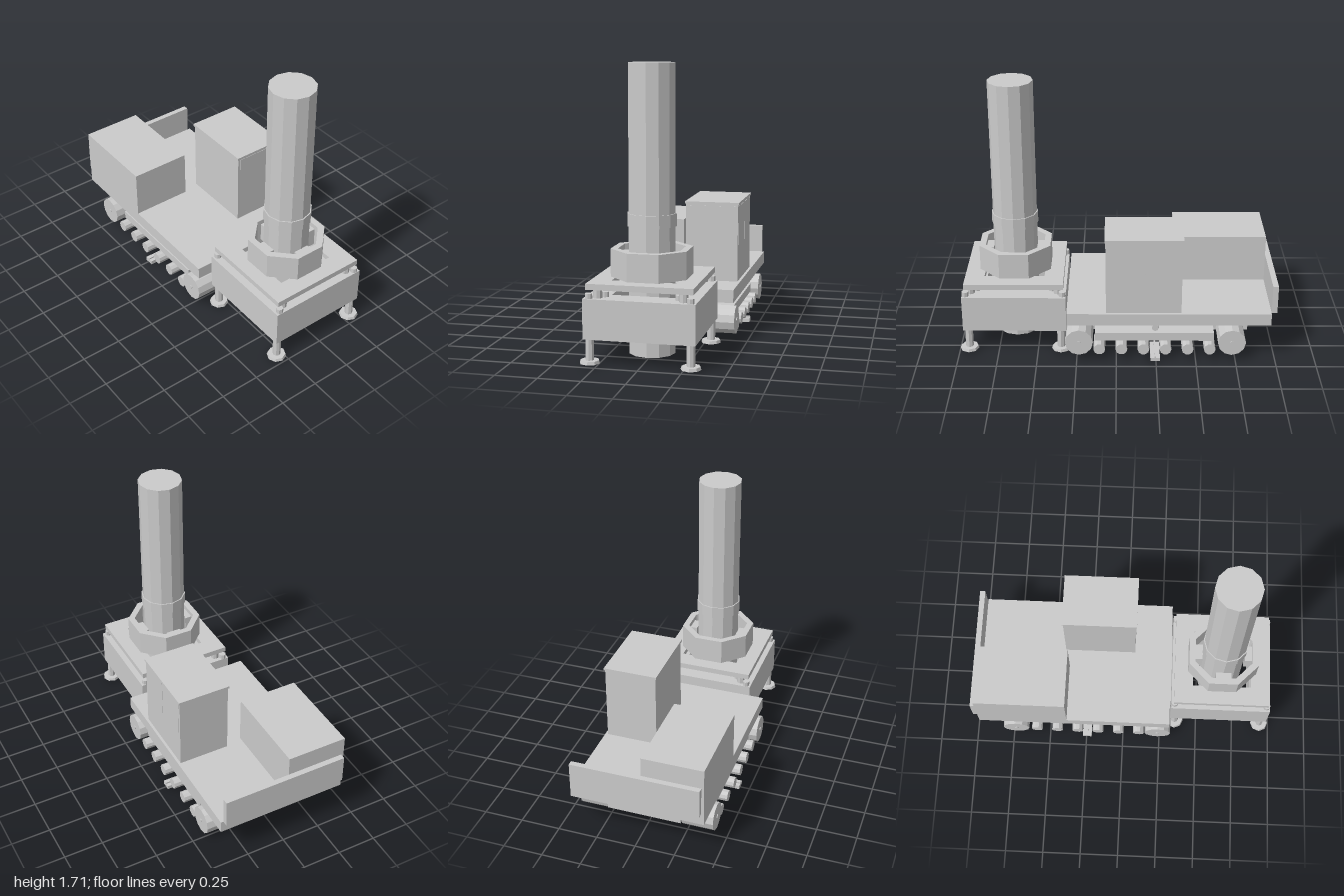
import * as THREE from 'three';

export function createModel() {
  const root = new THREE.Group();
  const mat = new THREE.MeshStandardMaterial({ color: 0xcccccc, flatShading: true });
  const sides = [-1, 1];

  const add = (name, geometry) => {
    const mesh = new THREE.Mesh(geometry, mat);
    mesh.name = name;
    root.add(mesh);
    return mesh;
  };
  // Box given by its min and max on each axis
  const box = (name, x0, x1, y0, y1, z0, z1) => {
    const m = add(name, new THREE.BoxGeometry(x1 - x0, y1 - y0, z1 - z0));
    m.position.set((x0 + x1) / 2, (y0 + y1) / 2, (z0 + z1) / 2);
    return m;
  };
  // Upright cylinder
  const post = (name, x, z, y0, y1, rTop, rBottom = rTop, n = 8) => {
    const m = add(name, new THREE.CylinderGeometry(rTop, rBottom, y1 - y0, n));
    m.position.set(x, (y0 + y1) / 2, z);
    return m;
  };
  // Cylinder lying along x
  const wheel = (name, side, x0, x1, y, z, r, n) => {
    const m = add(name, new THREE.CylinderGeometry(r, r, x1 - x0, n));
    m.rotation.z = Math.PI / 2;
    m.position.set(side * (x0 + x1) / 2, y, z);
    return m;
  };
  // Regular outline: 4 corners make a square, 8 an octagon, sized across the flats
  const outline = (n, apothem) => {
    const pts = [];
    for (let i = 0; i < n; i++) {
      const a = ((i + 0.5) / n) * Math.PI * 2, r = apothem / Math.cos(Math.PI / n);
      pts.push(new THREE.Vector2(r * Math.cos(a), r * Math.sin(a)));
    }
    return pts;
  };
  const Z = 0.645; // drilling axis
  const frame = (name, n, outer, inner, y0, y1) => {
    const s = new THREE.Shape(outline(n, outer));
    s.holes.push(new THREE.Path(outline(n, inner)));
    const g = new THREE.ExtrudeGeometry(s, { depth: y1 - y0, bevelEnabled: false });
    g.rotateX(-Math.PI / 2);
    const m = add(name, g);
    m.position.set(0, y0, Z);
    return m;
  };

  // Drilling casing
  post('casing', 0, Z, 0.015, 1.71, 0.14, 0.14, 12);
  post('casingCollar', 0, Z, 0.77, 0.845, 0.147, 0.147, 12);

  // Rotator: base frame, lifting plate, clamp ring
  frame('rotatorBase', 4, 0.327, 0.19, 0.155, 0.39);
  frame('liftingPlate', 4, 0.312, 0.19, 0.44, 0.475);
  frame('clampRing', 8, 0.225, 0.185, 0.475, 0.64);
  for (let i = 0; i < 4; i++) {
    const jaw = add('clampJaw', new THREE.BoxGeometry(0.1, 0.12, 0.05));
    const a = (i * Math.PI) / 2;
    jaw.position.set(Math.sin(a) * 0.163, 0.55, Z + Math.cos(a) * 0.163);
    jaw.rotation.y = a;
  }

  // Corner jacks and feet
  for (const sx of sides) for (const sz of sides) {
    post('liftCylinder', sx * 0.25, Z + sz * 0.275, 0.39, 0.44, 0.027);
    post('jackHead', sx * 0.295, Z + sz * 0.305, 0.39, 0.42, 0.022);
    post('jackHead', sx * 0.215, Z + sz * 0.238, 0.39, 0.42, 0.022);
    post('footPost', sx * 0.295, Z + sz * 0.293, 0.03, 0.16, 0.025);
    post('footPad', sx * 0.295, Z + sz * 0.293, 0.012, 0.03, 0.055, 0.06);
  }

  // Carrier body
  box('chassis', -0.235, 0.235, 0.113, 0.25, -0.84, 0.32);
  box('deck', -0.422, 0.422, 0.25, 0.33, -0.965, 0.31);
  box('engineHousing', -0.422, -0.035, 0.33, 0.64, -0.965, -0.375);
  box('rearBoard', -0.405, 0.405, 0.33, 0.515, -1, -0.965);

  // Cab with roof and window panes
  box('cab', 0.075, 0.405, 0.33, 0.817, -0.405, 0.065);
  box('cabRoof', 0.068, 0.412, 0.815, 0.83, -0.412, 0.072);
  box('frontWindow', 0.09, 0.39, 0.56, 0.805, 0.064, 0.067);
  for (const [z0, z1] of [[-0.39, -0.18], [-0.165, 0.05]]) {
    box('sideWindow', 0.404, 0.407, 0.56, 0.805, z0, z1);
  }

  // Running gear on both sides
  for (const s of sides) {
    const span = (a, b) => (s > 0 ? [a, b] : [-b, -a]);
    for (const z of [0.235, -0.725]) {
      wheel('driveWheel', s, 0.23, 0.43, 0.13, z, 0.088, 12);
      wheel('wheelHub', s, 0.42, 0.435, 0.13, z, 0.012, 8);
    }
    for (let i = 0; i < 6; i++) {
      wheel('trackRoller', s, 0.25, 0.42, 0.075, 0.107 - i * 0.139, 0.037, 10);
    }
    wheel('topRoller', s, 0.23, 0.375, 0.205, -0.245, 0.022, 8);
    box('trackBeam', ...span(0.23, 0.38), 0.115, 0.17, -0.615, 0.135);
    box('trackShoe', ...span(0.24, 0.438), 0, 0.025, -0.275, -0.215);
    box('shoeRib', ...span(0.24, 0.438), 0.025, 0.035, -0.25, -0.24);
  }
  return root;
}
